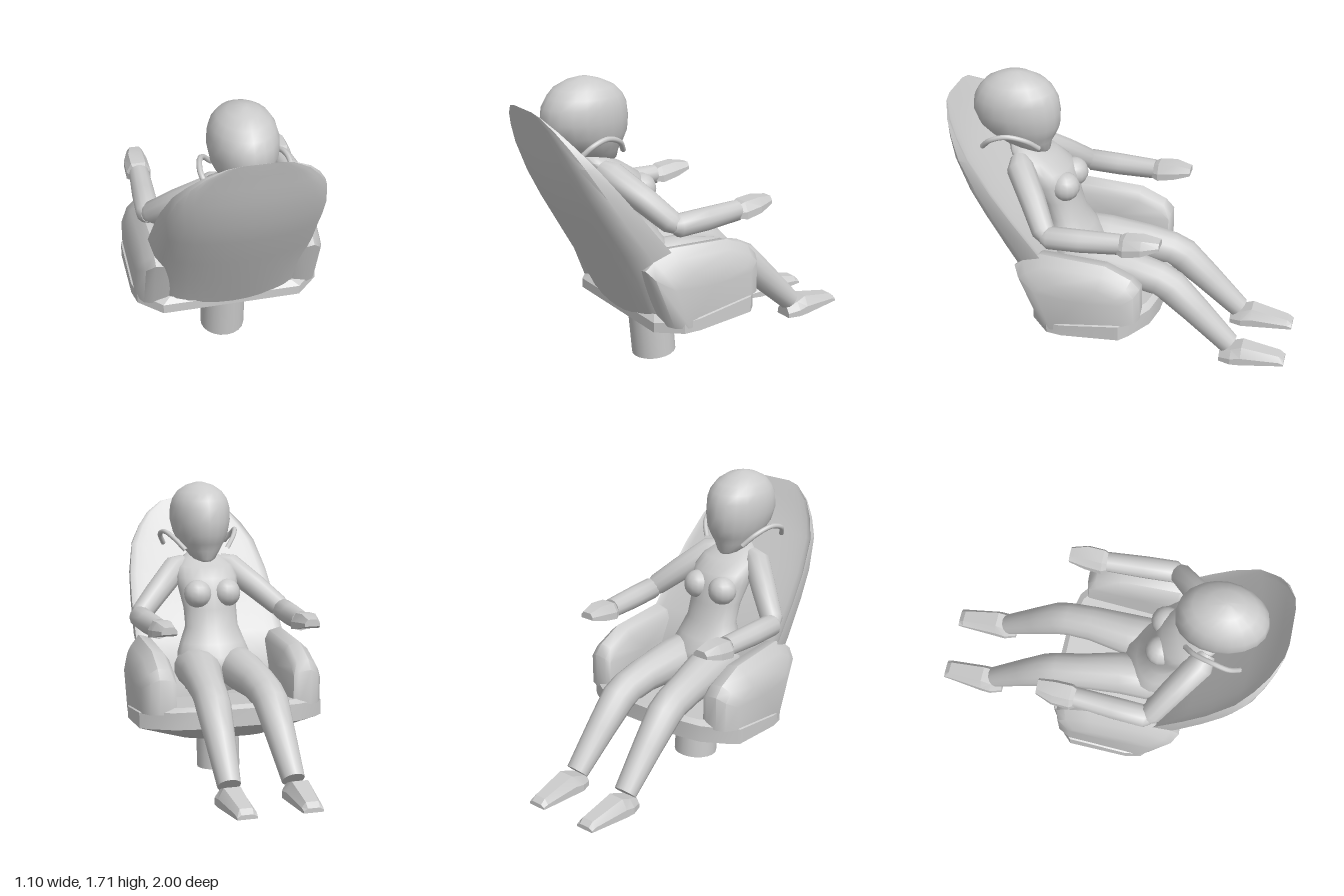
import * as THREE from 'three';
import { toCreasedNormals } from 'three/addons/utils/BufferGeometryUtils.js';

const material = new THREE.MeshStandardMaterial({ color: 0xcccccc });

function add(group, name, geometry) {
  const mesh = new THREE.Mesh(geometry, material);
  mesh.name = name;
  group.add(mesh);
  return mesh;
}

// Skin closed rings of [x, y, z] points, cap both ends, and face outwards
function loft(rings, crease = 0.9) {
  const n = rings[0].length, pos = rings.flat(), idx = [];
  for (let i = 0; i < rings.length - 1; i++) {
    for (let j = 0; j < n; j++) {
      const a = i * n + j, b = i * n + (j + 1) % n;
      idx.push(a, b, a + n, b, b + n, a + n);
    }
  }
  for (const [i, flip] of [[0, true], [rings.length - 1, false]]) {
    const c = pos.length;
    pos.push([0, 1, 2].map(k => rings[i].reduce((s, p) => s + p[k], 0) / n));
    for (let j = 0; j < n; j++) {
      const a = i * n + j, b = i * n + (j + 1) % n;
      idx.push(c, flip ? b : a, flip ? a : b);
    }
  }
  const v = pos.map(p => new THREE.Vector3(...p));
  let volume = 0;
  for (let i = 0; i < idx.length; i += 3) {
    volume += v[idx[i]].dot(v[idx[i + 1]].clone().cross(v[idx[i + 2]]));
  }
  if (volume < 0) idx.reverse();
  const g = new THREE.BufferGeometry().setFromPoints(v);
  g.setIndex(idx);
  return toCreasedNormals(g, crease);
}

// Horizontal ellipse rings from rows of [y, back z, front z, half width]
function stack(rows, n = 20) {
  return loft(rows.map(([y, zb, zf, w]) => Array.from({ length: n }, (_, j) => {
    const a = j / n * Math.PI * 2;
    return [w * Math.cos(a), y, (zb + zf) / 2 + (zb - zf) / 2 * Math.sin(a)];
  })));
}

// Round limb through points [x, y, z, radius]
function limb(points, side, n = 12) {
  const p = points.map(([x, y, z]) => new THREE.Vector3(x * side, y, z));
  return loft(p.map((c, i) => {
    const t = p[Math.min(i + 1, p.length - 1)].clone().sub(p[Math.max(i - 1, 0)]).normalize();
    const u = new THREE.Vector3().crossVectors(t, new THREE.Vector3(1, 0, 0)).normalize();
    const w = new THREE.Vector3().crossVectors(t, u);
    return Array.from({ length: n }, (_, j) => {
      const a = j / n * Math.PI * 2, r = points[i][3];
      return c.clone().addScaledVector(u, r * Math.cos(a)).addScaledVector(w, r * Math.sin(a)).toArray();
    });
  }));
}

// Chamfered slab running along z, rows of [z, centre x, half width, bottom, top]
function slab(rows, side) {
  const outline = [[-1, 0], [1, 0], [1, 0.45], [0.6, 1], [-0.6, 1], [-1, 0.45]];
  return loft(rows.map(([z, cx, w, y0, y1]) =>
    outline.map(([u, v]) => [side * (cx + u * w), y0 + v * (y1 - y0), z])), 0.3);
}

function createChair() {
  const chair = new THREE.Group();
  chair.name = 'chair';

  // Shell backrest: sharp front rim, slightly hollow front, boxy rounded rear
  const rows = [[1.58, 0.1, 1], [1.565, 0.17, 0.997], [1.5, 0.27, 0.98], [1.42, 0.34, 0.96],
    [1.32, 0.4, 0.935], [1.15, 0.44, 0.88], [1, 0.455, 0.81], [0.8, 0.465, 0.705],
    [0.6, 0.445, 0.597], [0.34, 0.4, 0.455]];
  add(chair, 'backrest', loft(rows.map(([y, w, zb]) => {
    const zf = Math.max(0.28, 0.4 + (y - 0.82) * 0.789), n = 28;
    return Array.from({ length: n }, (_, j) => {
      const a = j / n * Math.PI * 2, s = Math.sin(a);
      const depth = s >= 0 ? (zb - zf) * Math.pow(s, 0.6) : Math.min(0.04, (zb - zf) * 0.4) * -s;
      return [w * Math.cos(a), y, zf + depth];
    });
  }), 0.7));

  // Seat pan with a faceted, tapering underside
  const half = [[0.23, -0.26], [0.37, -0.23], [0.5, -0.14], [0.55, -0.09], [0.55, 0.25], [0.53, 0.34], [0.4, 0.46]];
  const outline = [...half, ...half.map(([x, z]) => [-x, z]).reverse()];
  const level = (sx, sz, y) => outline.map(([x, z]) => {
    const zz = 0.1 + (z - 0.1) * sz;
    return [x * sx, y(zz), zz];
  });
  const rim = z => 0.385 + (0.46 - z) * 0.15;
  add(chair, 'seat', loft([
    level(0.48, 0.47, z => 0.25 + (0.24 - z) * 0.08),
    level(1, 1, z => 0.33 + (0.45 - z) * 0.085),
    level(1, 1, rim),
    level(0.9, 0.92, z => rim(z) + 0.025),
  ], 0.4));

  // Padded armrests, rounded across their width
  const profile = [[0.54, 0.72], [0.49, 0.76], [0.385, 0.82], [0.01, 0.8], [-0.14, 0.73],
    [-0.19, 0.675], [-0.19, 0.47], [0.41, 0.37]];
  const slices = [[0.35, 0.85, 0.95], [0.38, 0.96, 0.99], [0.45, 1, 1], [0.5, 0.88, 0.92], [0.54, 0.7, 0.68]];
  for (const side of [1, -1]) {
    add(chair, side > 0 ? 'leftArmrest' : 'rightArmrest', loft(slices.map(([x, fy, fz]) =>
      profile.map(([z, y]) => {
        const zz = 0.1 + (z - 0.1) * fz, base = rim(z) - 0.03;
        return [side * x, base + (y - base) * fy, zz];
      })), 0.8));
  }

  // Slightly tilted pedestal
  const pedestal = add(chair, 'pedestal', new THREE.CylinderGeometry(0.13, 0.13, 0.27, 20));
  pedestal.position.set(0, 0.147, 0.222);
  pedestal.rotation.x = 0.09;
  return chair;
}

function createFigure() {
  const figure = new THREE.Group();
  figure.name = 'seatedFigure';

  add(figure, 'torso', stack([[0.48, 0.48, 0.2, 0.18], [0.6, 0.5, 0.13, 0.22], [0.7, 0.49, 0.14, 0.225],
    [0.77, 0.48, 0.2, 0.2], [0.86, 0.47, 0.25, 0.165], [0.97, 0.52, 0.28, 0.165], [1.08, 0.59, 0.3, 0.185],
    [1.15, 0.63, 0.33, 0.19], [1.21, 0.66, 0.42, 0.175], [1.25, 0.68, 0.5, 0.13], [1.28, 0.69, 0.54, 0.08]]));
  add(figure, 'neck', stack([[1.2, 0.68, 0.48, 0.08], [1.28, 0.7, 0.5, 0.07], [1.4, 0.74, 0.5, 0.075]], 14));
  add(figure, 'head', stack([[1.235, 0.56, 0.46, 0.04], [1.25, 0.62, 0.45, 0.07], [1.3, 0.73, 0.44, 0.11],
    [1.345, 0.8, 0.415, 0.14], [1.4, 0.86, 0.39, 0.165], [1.48, 0.89, 0.385, 0.183], [1.56, 0.88, 0.395, 0.18],
    [1.61, 0.85, 0.42, 0.165], [1.655, 0.81, 0.465, 0.135], [1.69, 0.74, 0.54, 0.085], [1.71, 0.67, 0.61, 0.02]]));

  for (const side of [1, -1]) {
    const label = side > 0 ? 'left' : 'right';
    const breast = add(figure, label + 'Breast', new THREE.SphereGeometry(0.085, 14, 10));
    breast.position.set(side * 0.09, 1.06, 0.34);

    // Upper arm and forearm overlap at the elbow
    add(figure, label + 'UpperArm', limb([[0.11, 1.22, 0.6, 0.05], [0.17, 1.19, 0.575, 0.08],
      [0.31, 1.07, 0.46, 0.073], [0.43, 0.96, 0.365, 0.065], [0.455, 0.935, 0.335, 0.045]], side));
    add(figure, label + 'Forearm', limb([[0.452, 0.945, 0.37, 0.04], [0.45, 0.94, 0.335, 0.065],
      [0.44, 0.94, 0.15, 0.065], [0.425, 0.945, -0.075, 0.058]], side));
    add(figure, label + 'Hand', slab([[-0.05, 0.425, 0.045, 0.915, 0.975], [-0.1, 0.425, 0.07, 0.905, 1.0],
      [-0.2, 0.425, 0.068, 0.925, 1.01], [-0.295, 0.415, 0.045, 0.955, 0.995]], side));

    // Thigh, knee and shin in one sweep
    add(figure, label + 'Leg', limb([[0.11, 0.61, 0.4, 0.1], [0.12, 0.62, 0.3, 0.13], [0.125, 0.62, 0.13, 0.125],
      [0.155, 0.595, -0.1, 0.105], [0.165, 0.565, -0.24, 0.1], [0.17, 0.53, -0.31, 0.1],
      [0.175, 0.39, -0.46, 0.085], [0.182, 0.19, -0.665, 0.065]], side, 14));
    add(figure, label + 'Foot', slab([[-0.62, 0.19, 0.055, 0.095, 0.155], [-0.69, 0.19, 0.08, 0.1, 0.185],
      [-0.75, 0.19, 0.077, 0.103, 0.21], [-0.97, 0.18, 0.058, 0.118, 0.17],
      [-1, 0.18, 0.055, 0.12, 0.145]], side));

    // Thin curved strand arching past the cheek
    const strand = [[0.13, 1.31, 0.475], [0.185, 1.375, 0.53], [0.225, 1.41, 0.63],
      [0.235, 1.385, 0.72], [0.2, 1.32, 0.785]];
    const curve = new THREE.CatmullRomCurve3(strand.map(([x, y, z]) => new THREE.Vector3(side * x, y, z)));
    add(figure, label + 'CheekStrand', new THREE.TubeGeometry(curve, 20, 0.015, 8));
  }
  return figure;
}

export function createModel() {
  const model = new THREE.Group();
  model.name = 'figureInChair';
  model.add(createChair(), createFigure());
  return model;
}
